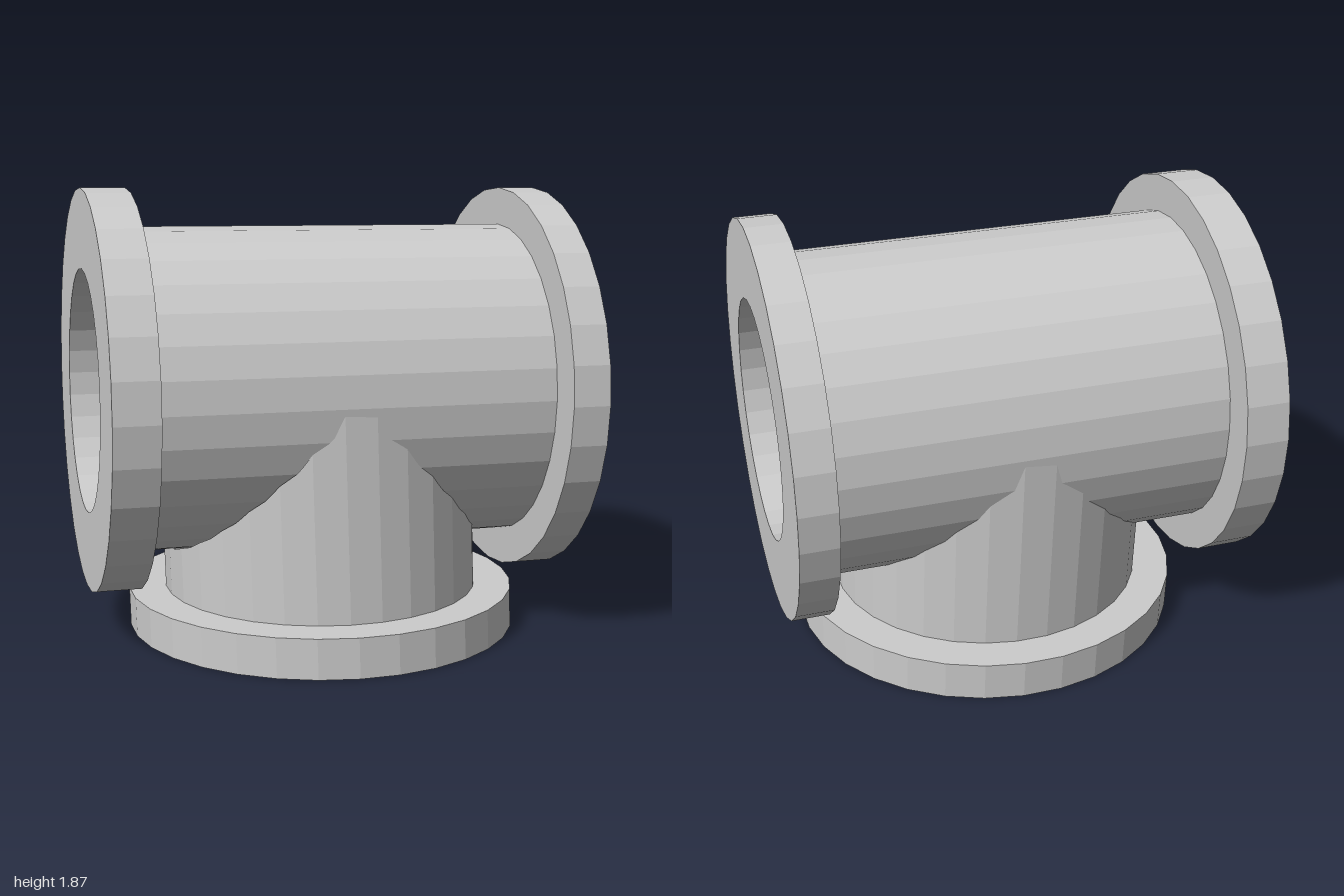
import * as THREE from 'three';

const SIDES = 32, STEP = (Math.PI * 2) / SIDES, HALF = STEP / 2;
const R_FLANGE = 0.833, R_TUBE = 0.675, R_BORE = 0.505;
const AXIS_Y = 1.03; // height of the run's axis

const material = new THREE.MeshStandardMaterial({ color: 0xcccccc, flatShading: true, side: THREE.DoubleSide });

// Half-width of a regular polygonal tube section at offset t from its centre
function section(r, phase, t) {
  let h = Infinity;
  for (let i = 0; i < SIDES; i++) {
    const a = phase + (i + 0.5) * STEP, c = Math.cos(a), s = Math.sin(a);
    if (s > 1e-6) h = Math.min(h, (r * Math.cos(HALF) - t * c) / s);
  }
  return Math.max(0, h);
}

// Faceted tube wall whose two ends follow the rules lo(p, q) and hi(p, q)
function wall(r, phase, lo, hi, place, inward = false) {
  const sub = 6, pos = [];
  for (let i = 0; i < SIDES; i++) {
    const a = phase + i * STEP, b = a + STEP;
    const at = (t) => [
      r * THREE.MathUtils.lerp(Math.cos(a), Math.cos(b), t),
      r * THREE.MathUtils.lerp(Math.sin(a), Math.sin(b), t),
    ];
    for (let k = 0; k < sub; k++) {
      const u = at(k / sub), v = at((k + 1) / sub);
      const c = [[lo(...u), u], [lo(...v), v], [hi(...v), v], [hi(...u), u]].map(([l, [p, q]]) => place(l, p, q));
      const order = inward ? [0, 2, 1, 0, 3, 2] : [0, 1, 2, 0, 2, 3];
      for (const n of order) pos.push(...c[n]);
    }
  }
  const g = new THREE.BufferGeometry();
  g.setAttribute('position', new THREE.Float32BufferAttribute(pos, 3));
  g.computeVertexNormals();
  return g;
}

// Flange ring from a short profile of [radius, height] points
function ring(points, phase) {
  return new THREE.LatheGeometry(points.map(([r, y]) => new THREE.Vector2(r, y)), SIDES, phase);
}

// The branch leans very slightly from its foot to the run
function lean(g) {
  const p = g.attributes.position;
  for (let i = 0; i < p.count; i++) {
    const y = p.getY(i);
    p.setX(i, p.getX(i) + 0.022 * (1 - y));
    p.setZ(i, p.getZ(i) + 0.02 - 0.032 * y);
  }
  g.computeVertexNormals();
  return g;
}

export function createModel() {
  const model = new THREE.Group();
  const add = (parent, name, geometry) => {
    const mesh = new THREE.Mesh(geometry, material);
    mesh.name = name;
    parent.add(mesh);
  };

  // Horizontal run, with an opening underneath for the branch bore
  const run = new THREE.Group();
  run.name = 'run';
  run.position.set(0, AXIS_Y, -0.012);
  run.rotation.set(0, -0.0075, -0.0085);
  model.add(run);

  const alongX = (l, p, q) => [l, p, q];
  const opening = (p, q) => (p < 0 ? section(R_BORE, HALF, q) : 0);
  const halves = [
    ['Right', (x) => [() => -x, (p, q) => -opening(p, q)]],
    ['Left', (x) => [opening, () => x]],
  ];
  for (const [side, ends] of halves) {
    add(run, 'runTube' + side, wall(R_TUBE, 0, ...ends(0.84), alongX));
    add(run, 'runBore' + side, wall(R_BORE, 0, ...ends(0.99), alongX, true));
  }
  add(run, 'runFlangeRight',
    ring([[R_BORE, -0.99], [R_FLANGE, -0.99], [R_FLANGE, -0.807], [0.66, -0.807]], 0).rotateZ(-Math.PI / 2));
  add(run, 'runFlangeLeft',
    ring([[0.66, 0.832], [R_FLANGE, 0.832], [R_FLANGE, 0.99], [R_BORE, 0.99]], 0).rotateZ(-Math.PI / 2));

  // Downward branch, its walls trimmed to the run
  const branch = new THREE.Group();
  branch.name = 'branch';
  model.add(branch);

  const alongY = (l, p, q) => [q, l, p];
  const meet = (r, embed) => (z) => AXIS_Y - section(r, 0, z) + embed;
  add(branch, 'branchTube', lean(wall(R_TUBE, HALF, () => 0.15, meet(R_TUBE, 0.008), alongY)));
  add(branch, 'branchBore', lean(wall(R_BORE, HALF, () => 0, meet(R_BORE, 0), alongY, true)));
  add(branch, 'branchFlange',
    lean(ring([[R_BORE, 0], [R_FLANGE, 0], [R_FLANGE, 0.165], [0.66, 0.165]], HALF)));

  return model;
}
